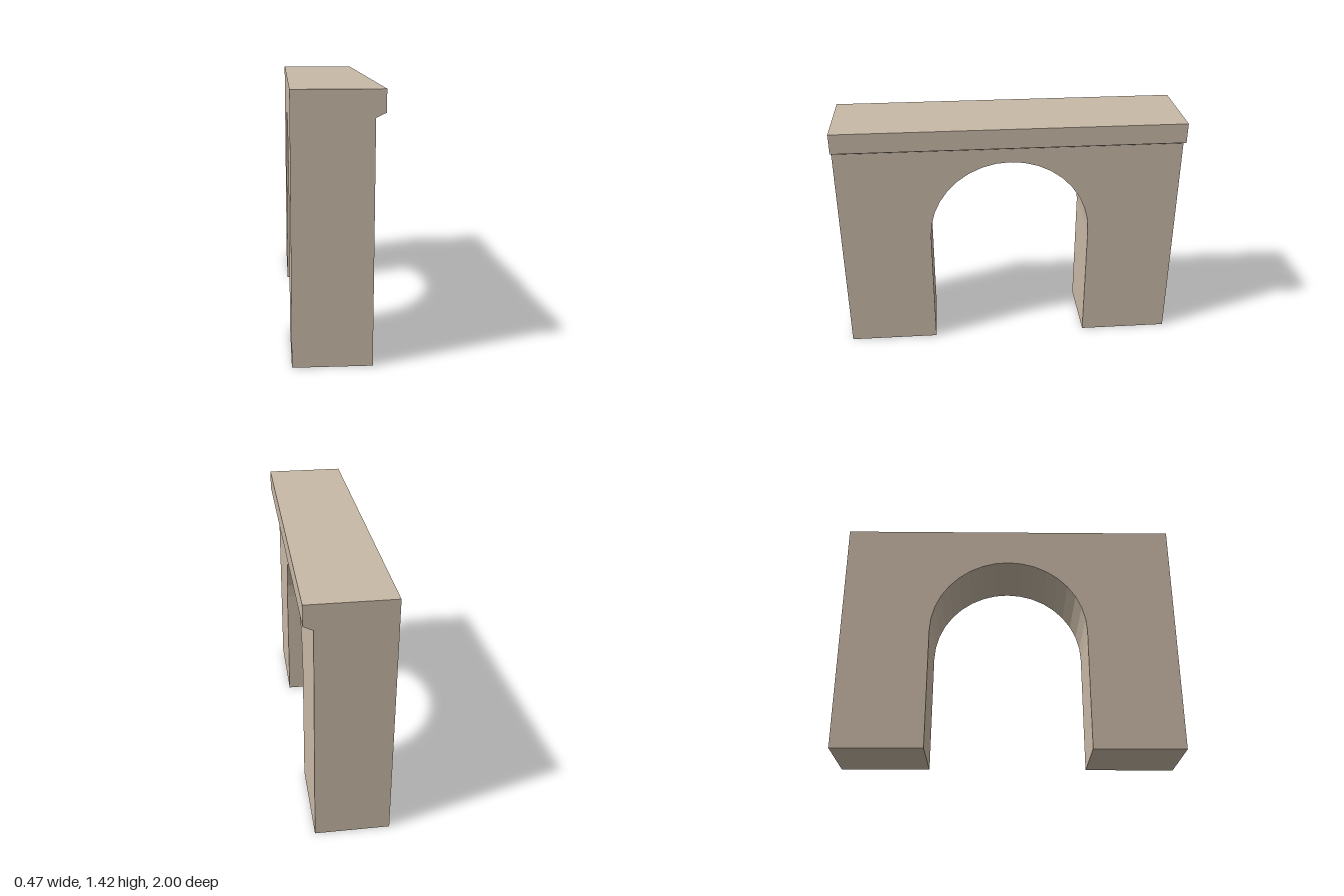
import * as THREE from 'three';

const HEIGHT = 1.425, HALF_LENGTH = 1;
const BACK = -0.235, FACE = 0.183, LEDGE = 0.235;
const ARCH_RADIUS = 0.472, SPRING = 0.73;

export function createModel() {
  const group = new THREE.Group();
  group.name = 'archway';
  const stone = new THREE.MeshStandardMaterial({ color: 0xc8b9a6, flatShading: true });

  const add = (name, geometry) => {
    const mesh = new THREE.Mesh(geometry, stone);
    mesh.name = name;
    group.add(mesh);
  };

  // Wall with round-headed opening, extruded through its thickness
  const wall = new THREE.Shape();
  wall.moveTo(-HALF_LENGTH, 0);
  wall.lineTo(-ARCH_RADIUS, 0);
  wall.lineTo(-ARCH_RADIUS, SPRING);
  wall.absarc(0, SPRING, ARCH_RADIUS, Math.PI, 0, true);
  wall.lineTo(ARCH_RADIUS, 0);
  wall.lineTo(HALF_LENGTH, 0);
  wall.lineTo(HALF_LENGTH, HEIGHT);
  wall.lineTo(-HALF_LENGTH, HEIGHT);
  wall.closePath();
  add('archWall', new THREE.ExtrudeGeometry(wall, {
    depth: FACE - BACK, bevelEnabled: false, curveSegments: 9,
  }).rotateY(Math.PI / 2).translate(BACK, 0, 0));

  // Ledge with sloped underside running along the left face
  const ledge = new THREE.Shape([
    new THREE.Vector2(FACE, 1.285),
    new THREE.Vector2(LEDGE, 1.31),
    new THREE.Vector2(LEDGE, HEIGHT),
    new THREE.Vector2(FACE, HEIGHT),
  ]);
  add('topLedge', new THREE.ExtrudeGeometry(ledge, {
    depth: 2 * HALF_LENGTH, bevelEnabled: false,
  }).translate(0, 0, -HALF_LENGTH));

  return group;
}
